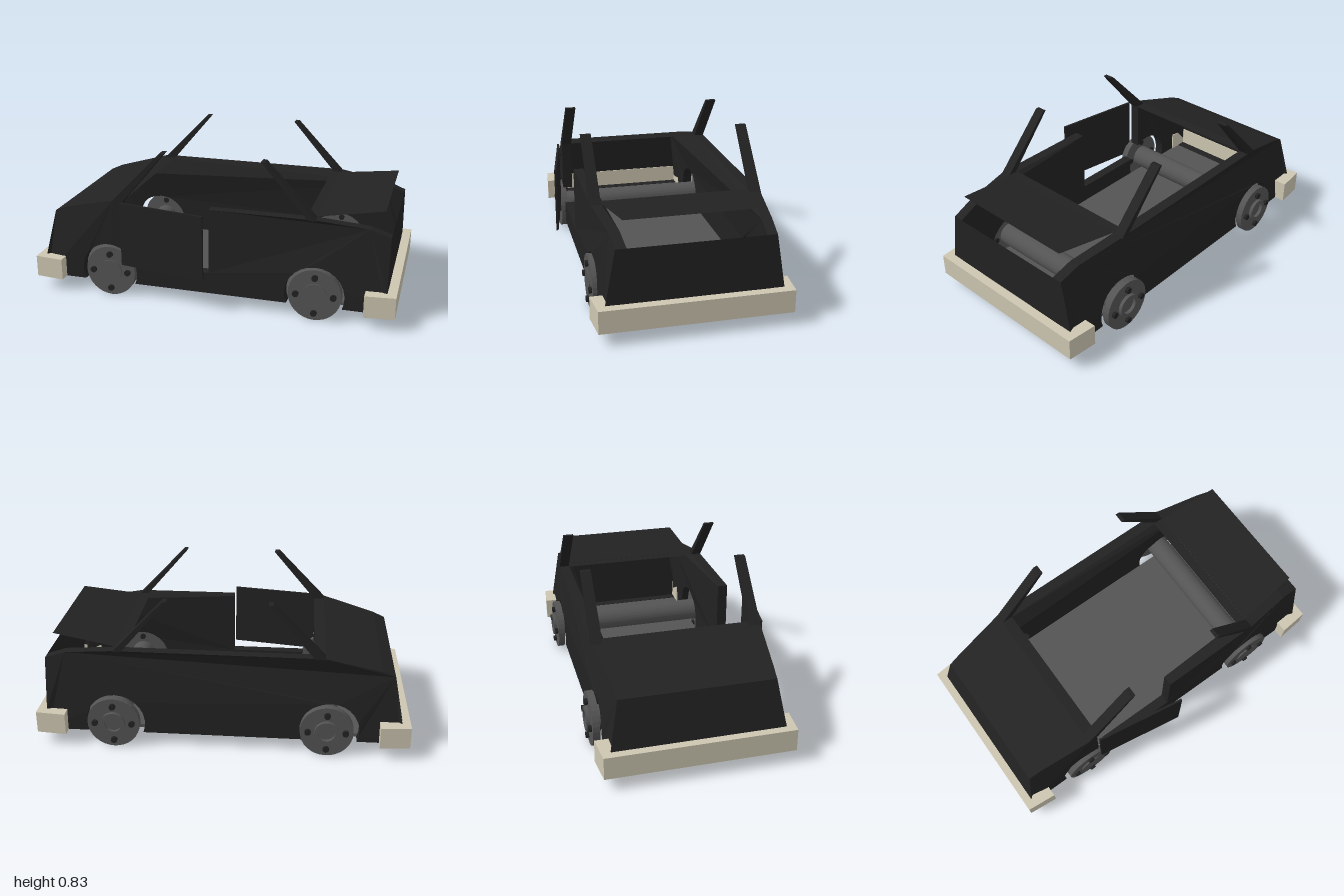
import * as THREE from 'three';

const CZ = -0.025;                 // middle of the body across its width
const OUT = 0.447, INN = 0.392;    // half widths, outside and inside of the walls
const ARCH = { x: 0.575, y: 0.13, r: 0.16 };

const mat = (name, color, side = THREE.FrontSide) => {
  const m = new THREE.MeshStandardMaterial({ color, side, flatShading: true });
  m.name = name;
  return m;
};

export function createModel() {
  const body = mat('black paint', 0x222222, THREE.DoubleSide);
  const grey = mat('dark grey metal', 0x545454);
  const cream = mat('cream bumper', 0xcdc6b1);
  const model = new THREE.Group();
  model.name = 'openCar';

  const add = (name, geo, material, x = 0, y = 0, z = 0) => {
    const mesh = new THREE.Mesh(geo, material);
    mesh.name = name;
    mesh.position.set(x, y, z);
    model.add(mesh);
    return mesh;
  };
  const shape = (pts) => new THREE.Shape(pts.map(([x, y]) => new THREE.Vector2(x, y)));

  // Points along a wheel arch, from angle a to angle b
  const arch = (cx, a, b, n = 16) => Array.from({ length: n + 1 }, (_, i) => {
    const t = a + (b - a) * i / n;
    return [cx + ARCH.r * Math.cos(t), ARCH.y + ARCH.r * Math.sin(t)];
  });
  const low = Math.asin((0.07 - ARCH.y) / ARCH.r);

  // How far the upper body leans inward near both ends
  const clamp = (v) => Math.min(1, Math.max(0, v));
  const lean = (x, y) => 0.05 * clamp((Math.abs(x) - 0.55) / 0.36) * clamp((y - 0.19) / 0.26);

  // Side walls: extruded profiles, leaned inward at the ends
  const wall = (name, pts, side) => {
    const geo = new THREE.ExtrudeGeometry(shape(pts), { depth: OUT - INN, bevelEnabled: false });
    const p = geo.attributes.position;
    for (let i = 0; i < p.count; i++) {
      const z = p.getZ(i) + (side > 0 ? INN : -OUT);
      p.setZ(i, CZ + z - side * lean(p.getX(i), p.getY(i)));
    }
    geo.computeVertexNormals();
    add(name, geo, body);
  };
  const nose = [[-0.54, 0.55], [-0.84, 0.47], [-0.905, 0.44], [-0.955, 0.19], [-0.955, 0.07]];
  const tail = [[0.95, 0.07], [0.95, 0.19], [0.95, 0.475], [0.84, 0.515], [0.57, 0.55]];
  const tailArch = arch(ARCH.x, Math.PI - low, low);
  wall('rightSideWall', [...nose, ...arch(-ARCH.x, Math.PI - low, low), ...tailArch, ...tail], -1);
  // The other wall is split by the door opening
  const aDoor = Math.acos((ARCH.x - 0.49) / ARCH.r);
  const aSill = Math.asin((0.19 - ARCH.y) / ARCH.r);
  wall('fenderWall', [...nose, ...arch(-ARCH.x, Math.PI - low, aDoor), [-0.49, 0.55]], 1);
  wall('doorSideWall', [...arch(-ARCH.x, aSill, low, 5), ...tailArch, ...tail, [0, 0.55], [0, 0.19]], 1);

  // Door swung slightly open
  const door = add('door', new THREE.BoxGeometry(0.495, 0.36, 0.012), body, -0.245, 0.37, 0.484);
  door.rotation.y = -Math.atan2(0.08, 0.49);

  // Panels across the car: rows of [x, y, half width]
  const panel = (name, rows) => {
    const pos = [], index = [];
    rows.forEach(([x, y, w], i) => {
      pos.push(x, y, CZ + w, x, y, CZ - w);
      if (i) {
        const k = 2 * i;
        index.push(k - 2, k, k - 1, k, k + 1, k - 1);
      }
    });
    const geo = new THREE.BufferGeometry();
    geo.setAttribute('position', new THREE.Float32BufferAttribute(pos, 3));
    geo.setIndex(index);
    geo.computeVertexNormals();
    add(name, geo, body);
  };
  panel('hoodAndNose', [[-0.955, 0.07, 0.44], [-0.957, 0.19, 0.445], [-0.906, 0.441, 0.4],
    [-0.84, 0.471, 0.405], [-0.54, 0.551, 0.443], [-0.48, 0.551, INN]]);
  panel('tailPanel', [[0.951, 0.475, 0.397], [0.951, 0.19, OUT], [0.951, 0.07, OUT]]);
  panel('rearDeck', [[0.515, 0.549, INN], [0.57, 0.549, INN]]);
  panel('raisedLid', [[0.57, 0.55, 0.385], [0.91, 0.6, 0.352]]);

  // Floor and its dark end sills
  add('floor', new THREE.BoxGeometry(1.8, 0.018, 2 * INN), grey, 0, 0.079, CZ);
  for (const s of [-1, 1])
    add('endSill', new THREE.BoxGeometry(0.05, 0.02, 2 * INN), body, s * 0.925, 0.08, CZ);

  // Roof pillars, cut off at the top
  const pillars = {
    frontPillar: [[-0.545, 0.545], [-0.485, 0.545], [-0.24, 0.835], [-0.265, 0.835]],
    rearPillar: [[0.53, 0.545], [0.575, 0.545], [0.3, 0.835], [0.28, 0.835]],
  };
  for (const [name, pts] of Object.entries(pillars))
    for (const z of [INN, -OUT])
      add(name, new THREE.ExtrudeGeometry(shape(pts), { depth: OUT - INN, bevelEnabled: false }),
        body, 0, 0, CZ + z);

  // Wrap-around bumpers
  for (const s of [-1, 1]) {
    const half = [[1, 0.49], [0.84, 0.505], [0.84, 0.385], [0.952, 0.385]];
    const pts = [...half, ...half.map(([x, z]) => [x, -z]).reverse()].map(([x, z]) => [s * x, z]);
    const geo = new THREE.ExtrudeGeometry(shape(pts), { depth: 0.12, bevelEnabled: false });
    geo.rotateX(-Math.PI / 2);
    add(s < 0 ? 'frontBumper' : 'rearBumper', geo, cream, 0, 0.07, CZ);
  }

  // Axles, wheels, hubs and bolts
  const rod = (r, len, n) => new THREE.CylinderGeometry(r, r, len, n).rotateX(Math.PI / 2);
  const Y = 0.143;
  for (const x of [-0.56, 0.58]) {
    add('axle', rod(0.065, 0.945, 28), grey, x, Y, -0.0225);
    for (const z of [0.4245, -0.491]) {
      add('wheel', rod(0.142, 0.037, 32), grey, x, Y, z);
      for (let i = 0; i < 4; i++) {
        const a = i * Math.PI / 2;
        add('bolt', rod(0.017, 0.062, 12), body, x + 0.1 * Math.cos(a), Y + 0.1 * Math.sin(a),
          z + (z > 0 ? 0.002 : -0.004));
      }
    }
    // Open hub ring on the far side
    const ring = new THREE.Shape().absarc(0, 0, 0.065, 0, Math.PI * 2);
    ring.holes.push(new THREE.Path().absarc(0, 0, 0.045, 0, Math.PI * 2, true));
    add('hubRing', new THREE.ExtrudeGeometry(ring, { depth: 0.03, bevelEnabled: false, curveSegments: 14 }),
      grey, x, Y, -0.528);
  }
  return model;
}
